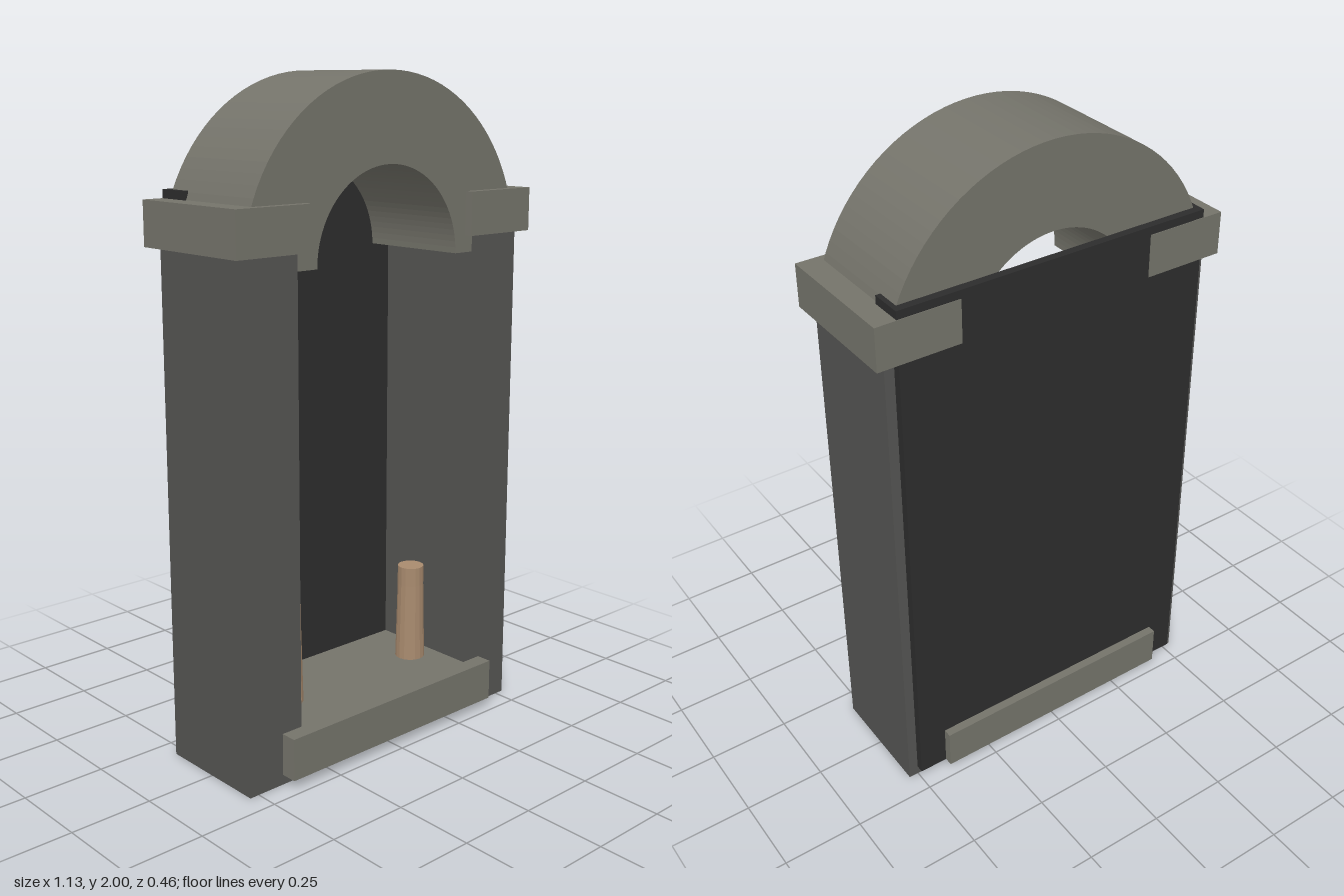
import * as THREE from 'three';

export function createModel() {
  const root = new THREE.Group();
  root.name = 'archedAlcove';
  const mat = (color) => new THREE.MeshStandardMaterial({ color });
  const stone = mat(0x74736a);
  const darkStone = mat(0x545452);
  const backing = mat(0x2c2c2c);
  const wax = mat(0xa88a6e);

  const add = (name, geometry, material, x = 0, y = 0, z = 0) => {
    const mesh = new THREE.Mesh(geometry, material);
    mesh.name = name;
    mesh.position.set(x, y, z);
    root.add(mesh);
    return mesh;
  };
  // Box given by its lower and upper corners
  const box = (name, material, [x0, y0, z0], [x1, y1, z1]) =>
    add(name, new THREE.BoxGeometry(x1 - x0, y1 - y0, z1 - z0), material,
      (x0 + x1) / 2, (y0 + y1) / 2, (z0 + z1) / 2);

  // Half-ring arch
  const ring = new THREE.Shape();
  ring.absarc(0, 0, 0.525, 0, Math.PI, false);
  ring.absarc(0, 0, 0.27, Math.PI, 0, true);
  ring.closePath();
  const archGeo = new THREE.ExtrudeGeometry(ring, { depth: 0.358, bevelEnabled: false, curveSegments: 24 });
  add('arch', archGeo, stone, 0, 1.475, -0.179);

  // Base slab and back panel
  box('baseSlab', stone, [-0.41, 0.03, -0.232], [0.41, 0.158, 0.23]);
  box('backPanel', backing, [-0.5, 0.03, -0.205], [0.5, 1.68, -0.18]);

  // Candle: tapered body with a straight top
  const candleProfile = [[0, 0.15], [0.047, 0.15], [0.041, 0.405], [0.041, 0.465], [0, 0.465]]
    .map(([r, y]) => new THREE.Vector2(r, y));

  for (const [side, s] of [['left', 1], ['right', -1]]) {
    const mirrored = (name, material, [x0, y0, z0], [x1, y1, z1]) =>
      box(side + name, material, [Math.min(s * x0, s * x1), y0, z0], [Math.max(s * x0, s * x1), y1, z1]);
    mirrored('Pillar', darkStone, [0.34, 0, -0.18], [0.53, 1.54, 0.18]);
    mirrored('Capital', stone, [0.31, 1.525, -0.207], [0.565, 1.655, 0.205]);
    mirrored('PanelFlange', backing, [0.485, 0.03, -0.204], [0.5, 1.68, -0.105]);
    const candle = new THREE.LatheGeometry(candleProfile, 16).toNonIndexed();
    candle.computeVertexNormals();
    add(side + 'Candle', candle, wax, s * 0.257, 0, 0.02);
  }
  return root;
}
